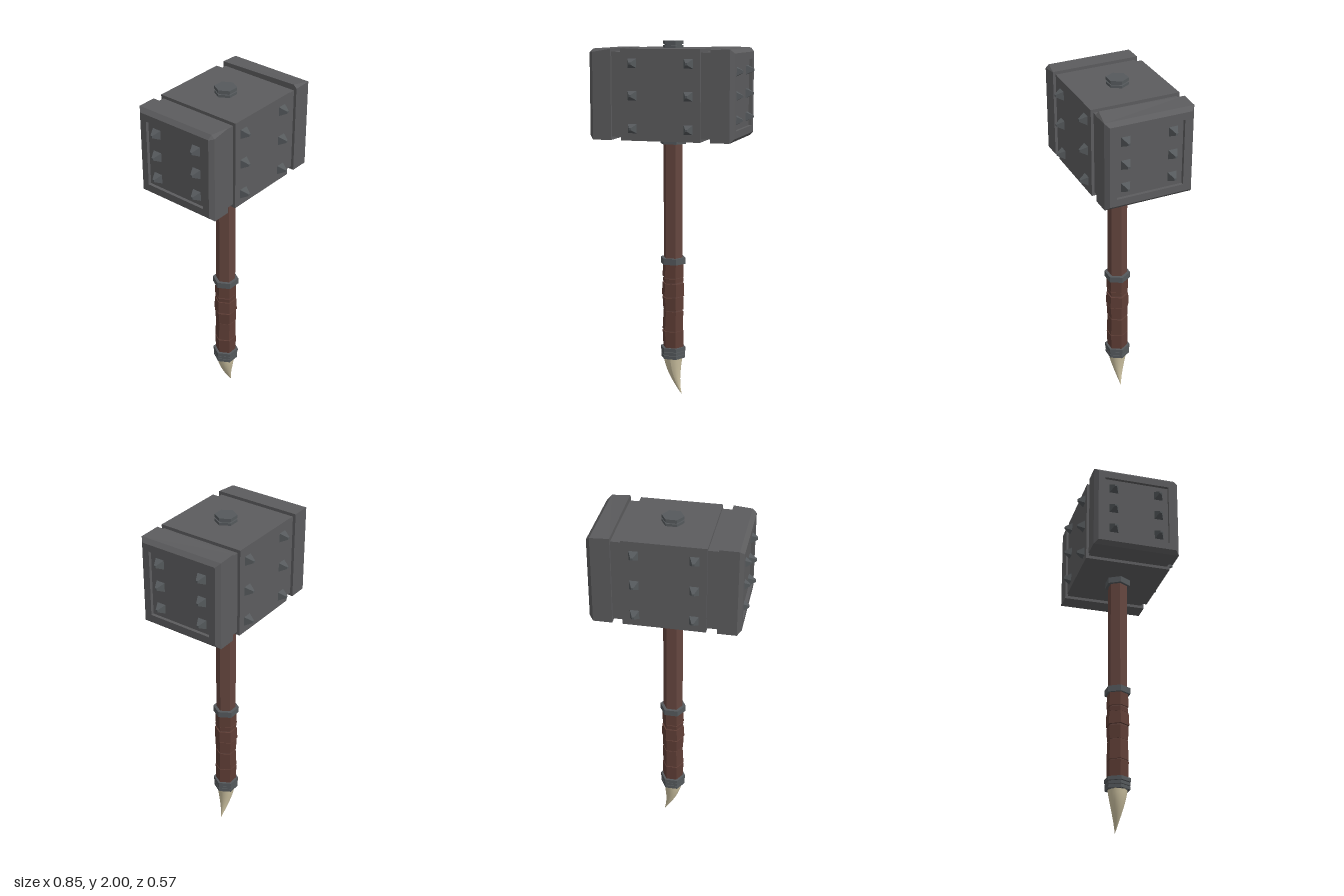
import * as THREE from 'three';

const iron = new THREE.MeshStandardMaterial({ name: 'dark iron', color: 0x5c5c5e });
const steel = new THREE.MeshStandardMaterial({ name: 'blue steel', color: 0x55595c });
const wood = new THREE.MeshStandardMaterial({ name: 'brown wood', color: 0x65463f });
const leather = new THREE.MeshStandardMaterial({ name: 'red-brown leather', color: 0x5f3e36 });
const bone = new THREE.MeshStandardMaterial({ name: 'pale bone', color: 0xcfc4a3 });

function flat(geometry) {
  const g = geometry.index ? geometry.toNonIndexed() : geometry;
  g.computeVertexNormals();
  return g;
}

function add(parent, name, geometry, material, x = 0, y = 0, z = 0) {
  const mesh = new THREE.Mesh(geometry, material);
  mesh.name = name;
  mesh.position.set(x, y, z);
  parent.add(mesh);
  return mesh;
}

// Hexagonal prism between two heights, one corner on the x axis
function hex(parent, name, material, y0, y1, r0, r1 = r0) {
  const g = new THREE.CylinderGeometry(r1, r0, y1 - y0, 6, 1, false, Math.PI / 2);
  return add(parent, name, flat(g), material, 0, (y0 + y1) / 2, 0);
}

// Flat-faced skin over cross-sections [ [x, y, z], ... ]; flip reverses the faces
function loft(rings, flip) {
  const out = [];
  const tri = (a, b, c) => out.push(...a, ...(flip ? c : b), ...(flip ? b : c));
  const n = rings[0].length;
  for (let k = 0; k < rings.length - 1; k++) {
    const A = rings[k], B = rings[k + 1];
    for (let i = 0; i < n; i++) {
      const j = (i + 1) % n;
      tri(A[i], A[j], B[j]);
      tri(A[i], B[j], B[i]);
    }
  }
  const first = rings[0], last = rings[rings.length - 1];
  for (let i = 1; i < n - 1; i++) {
    tri(first[0], first[i + 1], first[i]);
    tri(last[0], last[i], last[i + 1]);
  }
  const g = new THREE.BufferGeometry();
  g.setAttribute('position', new THREE.Float32BufferAttribute(out, 3));
  return flat(g);
}

// Chamfered striking block with a sunken face and a chipped top front corner
function strikingBlock(side, chipInner, chipOuter, frontRise, backRise) {
  const ring = (x, lo, hi, z, chip, rf = 0, rb = 0) => [
    [side * x, lo, -z], [side * x, hi + rb, -z], [side * x, hi + rf, z - chip],
    [side * x, hi + rf - chip, z], [side * x, lo, z]];
  return loft([
    ring(0.275, 1.475, 1.961, 0.244, chipInner, frontRise, backRise),
    ring(0.378, 1.475, 1.961, 0.244, chipOuter),
    ring(0.4, 1.496, 1.94, 0.223, 0.001),
    ring(0.4, 1.535, 1.901, 0.185, 0.001),
    ring(0.382, 1.535, 1.901, 0.185, 0.001)], side < 0);
}

function createModel() {
  const model = new THREE.Group();
  model.name = 'warHammer';

  // Head
  const head = new THREE.Group();
  head.name = 'head';
  model.add(head);
  add(head, 'headCore', new THREE.BoxGeometry(0.56, 0.452, 0.457), iron, 0, 1.718, 0);
  add(head, 'headCentre', new THREE.BoxGeometry(0.438, 0.486, 0.488), iron, 0, 1.718, 0);
  add(head, 'leftStrikingBlock', strikingBlock(1, 0.018, 0.001, 0.015, 0.005), iron);
  add(head, 'rightStrikingBlock', strikingBlock(-1, 0.001, 0.018, 0, 0), iron);

  // Blunt four-sided spikes on all four upright faces
  const spike = flat(new THREE.CylinderGeometry(0.008, 0.036, 0.041, 4, 1, false, Math.PI / 4));
  for (const s of [-1, 1]) {
    for (const t of [-1, 1]) {
      for (const y of [1.54, 1.715, 1.885])
        add(head, s > 0 ? 'frontSpike' : 'backSpike', spike, steel, t * 0.155, y, s * 0.263)
          .rotation.x = s * Math.PI / 2;
      for (const y of [1.588, 1.715, 1.843])
        add(head, 'endSpike', spike, steel, s * 0.402, y, t * 0.13)
          .rotation.z = -s * Math.PI / 2;
    }
  }

  // Handle with its cap and collars
  hex(model, 'handle', wood, 0.25, 1.48, 0.055, 0.055);
  hex(model, 'capNeck', steel, 1.955, 1.99, 0.05);
  hex(model, 'capRing', steel, 1.962, 1.976, 0.059);
  hex(model, 'cap', steel, 1.983, 2, 0.059);
  hex(model, 'headCollar', steel, 1.44, 1.478, 0.073);
  hex(model, 'gripCollar', steel, 0.765, 0.8, 0.073);
  hex(model, 'pommelCore', steel, 0.215, 0.28, 0.06);
  hex(model, 'pommelRing', steel, 0.217, 0.236, 0.07);
  hex(model, 'pommelRing', steel, 0.239, 0.256, 0.07);
  hex(model, 'pommelRing', steel, 0.26, 0.281, 0.073);

  // Uneven leather bands: bottom, top, lower radius, upper radius, tilt
  const bands = [
    [0.28, 0.375, 0.059, 0.062, 0.02], [0.38, 0.492, 0.061, 0.058, -0.03],
    [0.498, 0.572, 0.059, 0.062, 0.03], [0.58, 0.652, 0.066, 0.063, -0.02],
    [0.658, 0.682, 0.059, 0.06, 0.04], [0.688, 0.768, 0.062, 0.06, -0.02]];
  for (const [y0, y1, r0, r1, tilt] of bands)
    hex(model, 'gripBand', leather, y0, y1, r0, r1).rotation.z = tilt;

  // Curved claw: a smooth cone whose axis bends toward +x
  const claw = new THREE.CylinderGeometry(0.053, 0.001, 0.217, 20, 10);
  const p = claw.attributes.position;
  for (let i = 0; i < p.count; i++) {
    const t = 0.5 - p.getY(i) / 0.217;
    const swell = 1 + 0.45 * t * (1 - t);
    p.setX(i, p.getX(i) * swell + 0.05 * Math.pow(t, 2.1));
    p.setZ(i, p.getZ(i) * swell);
  }
  claw.computeVertexNormals();
  add(model, 'claw', claw, bone, 0, 0.1085, 0);

  return model;
}

export { createModel };
